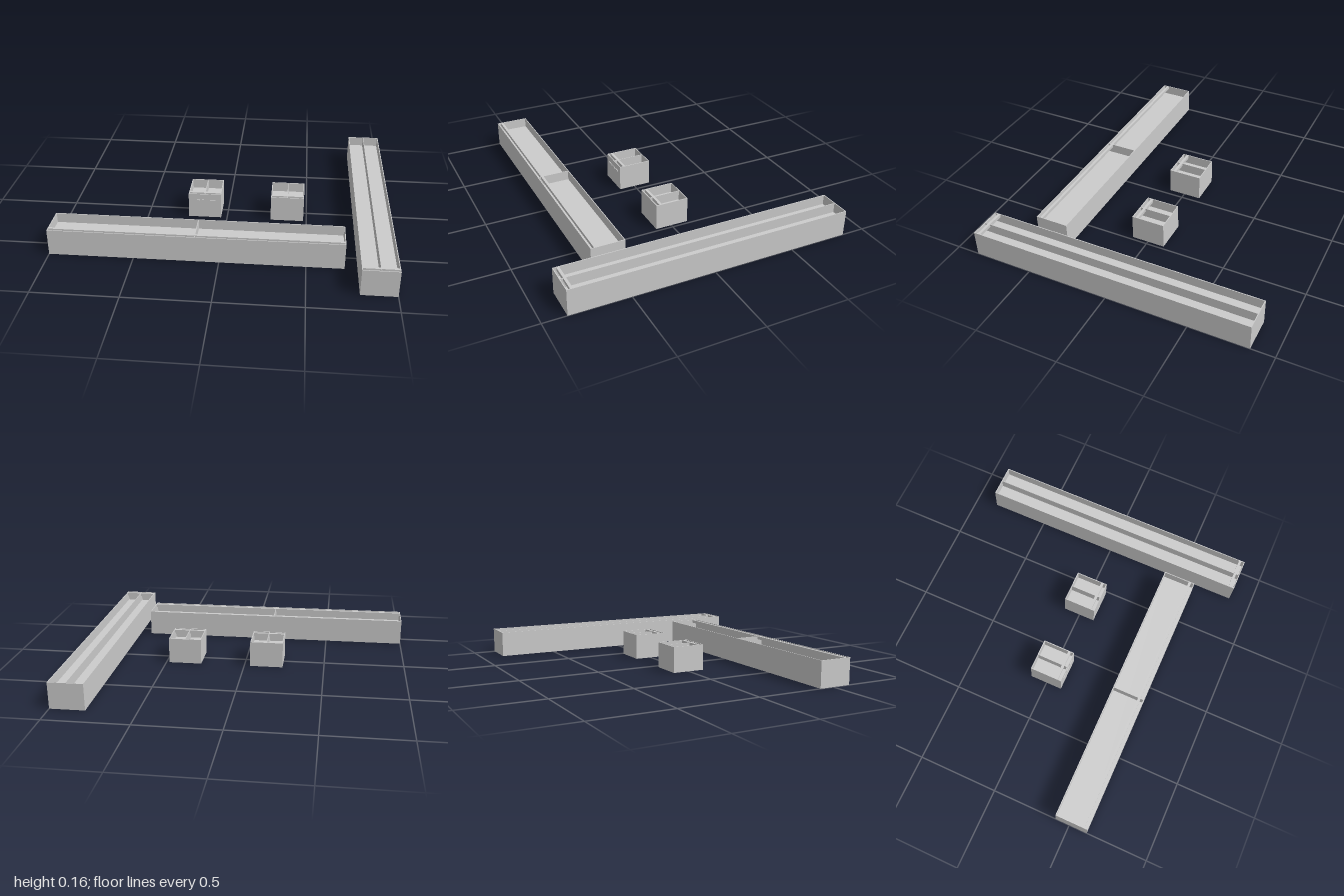
import * as THREE from 'three';

const H = 0.16, WALL = 0.005, FLOOR_LOW = 0.062, FLOOR_TOP = 0.1;

export function createModel() {
  const model = new THREE.Group();
  const mat = new THREE.MeshStandardMaterial({ color: 0xcccccc });

  // box given by its lower and upper limits on each axis
  function box(parent, name, [x0, x1], [y0, y1], [z0, z1]) {
    const mesh = new THREE.Mesh(new THREE.BoxGeometry(x1 - x0, y1 - y0, z1 - z0), mat);
    mesh.position.set((x0 + x1) / 2, (y0 + y1) / 2, (z0 + z1) / 2);
    mesh.name = name;
    parent.add(mesh);
  }

  // open tray: thin walls, raised floor with a recess below, divider and front rail
  function tray(name, x0, x1, z0, z1) {
    const g = new THREE.Group();
    g.name = name;
    const inX = [x0 + WALL, x1 - WALL], inZ = [z0 + WALL, z1 - WALL];
    const mid = (x0 + x1) / 2;

    // outer shell
    const shape = new THREE.Shape([
      new THREE.Vector2(x0, -z0), new THREE.Vector2(x0, -z1),
      new THREE.Vector2(x1, -z1), new THREE.Vector2(x1, -z0)]);
    shape.holes.push(new THREE.Path([
      new THREE.Vector2(inX[0], -inZ[0]), new THREE.Vector2(inX[1], -inZ[0]),
      new THREE.Vector2(inX[1], -inZ[1]), new THREE.Vector2(inX[0], -inZ[1])]));
    const walls = new THREE.Mesh(
      new THREE.ExtrudeGeometry(shape, { depth: H, bevelEnabled: false }).rotateX(-Math.PI / 2), mat);
    walls.name = 'walls';
    g.add(walls);

    box(g, 'floor', inX, [FLOOR_LOW, FLOOR_TOP], inZ);
    box(g, 'divider', [mid - 0.002, mid + 0.002], [FLOOR_TOP, H - 0.001], inZ);
    // rail set back from the front wall, leaving a narrow slot
    box(g, 'frontRail', inX, [H - 0.02, H], [z1 - 0.038, z1 - 0.022]);
    model.add(g);
    return g;
  }

  tray('wideTray', -1, 0.72, 0.41, 0.615);
  tray('deepTray', 0.793, 1, -0.86, 0.86);
  const small = tray('smallTrayRight', -0.242, -0.038, -0.105, 0.1);
  tray('smallTrayLeft', 0.275, 0.48, -0.105, 0.1);

  // small raised pads on the front of one tray
  for (const x of [-0.19, -0.14, -0.09])
    box(small, 'frontPad', [x - 0.018, x + 0.018], [0.11, 0.122], [0.099, 0.104]);

  return model;
}
